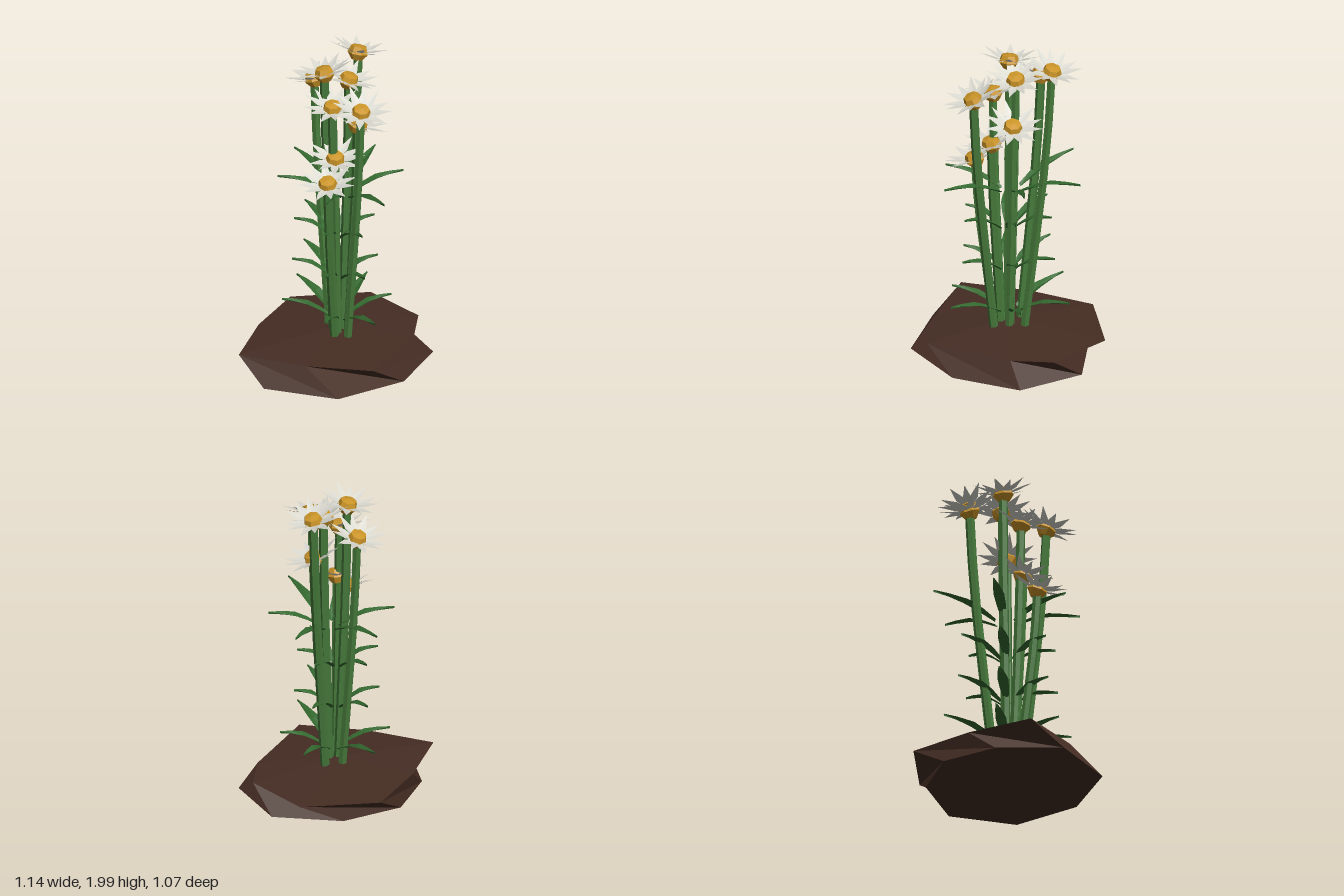
import * as THREE from 'three';
import { mergeGeometries } from 'three/addons/utils/BufferGeometryUtils.js';

const mat = (name, color, extra = {}) => {
  const m = new THREE.MeshStandardMaterial({ color, flatShading: true, ...extra });
  m.name = name;
  return m;
};

function mesh(name, geometry, material) {
  const m = new THREE.Mesh(geometry, material);
  m.name = name;
  return m;
}

function trianglesToGeometry(tris) {
  const g = new THREE.BufferGeometry();
  g.setAttribute('position', new THREE.Float32BufferAttribute(tris.flat(2), 3));
  g.computeVertexNormals();
  return g;
}

// Pointed blade along +x, folded down along its midrib; sections are [distance, height, half width]
function blade(sections, fold) {
  const tris = [];
  const rib = ([r, y]) => [r, y - fold, 0];
  for (let i = 0; i < sections.length - 1; i++) {
    const s = sections[i], t = sections[i + 1];
    const a = [s[0], s[1], s[2]], b = [s[0], s[1], -s[2]];
    const c = [t[0], t[1], t[2]], d = [t[0], t[1], -t[2]];
    tris.push([a, c, rib(s)], [rib(s), d, b]);
    if (t[2] > 0) tris.push([rib(s), c, rib(t)], [rib(s), rib(t), d]);
  }
  return trianglesToGeometry(tris);
}

// Faceted soil clod: two octagonal rings, twisted against each other, between two apexes
function soilGeometry() {
  const upper = [[0.57, 0], [0.44, 0.21], [0.02, 0.53], [-0.3, 0.3],
    [-0.575, 0], [-0.3, -0.3], [0.02, -0.54], [0.46, -0.39]].map(([x, z]) => [x, 0.2, z]);
  const lower = [[0.545, -0.195], [0.56, 0.21], [0.24, 0.48], [-0.2, 0.52], [-0.52, 0.21],
    [-0.42, -0.17], [-0.17, -0.41], [0.2, -0.42]].map(([x, z]) => [x, 0.065, z]);
  const top = [0.02, 0.25, 0], bottom = [0.02, 0, 0];
  const tris = [];
  for (let i = 0; i < 8; i++) {
    const j = (i + 1) % 8;
    tris.push([top, upper[j], upper[i]], [upper[i], upper[j], lower[i]],
      [upper[j], lower[j], lower[i]], [bottom, lower[i], lower[j]]);
  }
  return trianglesToGeometry(tris);
}

// Star of cupped petals around +y
function petalsGeometry(count) {
  const petals = [];
  for (let i = 0; i < count; i++) {
    const lift = i % 2 ? 0.018 : 0;
    const p = blade([[0.03, 0, 0.01], [0.085, 0.012 + lift / 2, 0.024], [0.172, 0.036 + lift, 0]], 0.002);
    petals.push(p.rotateY((i / count) * Math.PI * 2));
  }
  return mergeGeometries(petals);
}

export function createModel() {
  const group = new THREE.Group();
  const soil = mat('soil brown', 0x452d23);
  const stemGreen = mat('stem green', 0x467a3b);
  const leafGreen = mat('leaf green', 0x34692f, { side: THREE.DoubleSide });
  const white = mat('petal white', 0xd9d9d0, { side: THREE.DoubleSide });
  const yellow = mat('flower centre yellow', 0xca9428);

  group.add(mesh('soil', soilGeometry(), soil));

  // Flower heads: x, y, z, then sideways lean of the head in x and z
  const flowers = [
    [-0.02, 1.865, -0.02, -0.15, -0.15],
    [0.26, 1.885, -0.15, 0.28, -0.12],
    [0.12, 1.805, 0.01, 0.28, 0.2],
    [0.075, 1.715, 0.26, -0.05, 0.4],
    [-0.02, 1.685, 0.085, -0.12, 0.22],
    [0.16, 1.53, 0.05, 0.42, 0.1],
    [-0.01, 1.365, 0.1, -0.1, 0.3],
    [-0.09, 1.25, 0.165, -0.2, 0.28],
    [0.01, 1.745, -0.21, -0.15, -0.32],
  ];
  const centre = new THREE.Vector3(0.05, 0, 0.03);
  const petalGeo = petalsGeometry(12);
  const discProfile = [[0, -0.05], [0.032, -0.047], [0.061, -0.008], [0.046, 0.034], [0, 0.042]];
  const discGeo = new THREE.LatheGeometry(discProfile.map(([r, y]) => new THREE.Vector2(r, y)), 7);
  const up = new THREE.Vector3(0, 1, 0);

  flowers.forEach(([x, y, z, leanX, leanZ], i) => {
    const head = new THREE.Vector3(x, y, z);
    const at = (spread, height) => new THREE.Vector3(
      centre.x + (x - centre.x) * spread, height, centre.z + (z - centre.z) * spread);

    // Stem spreads outward from the soil, then straightens
    const path = new THREE.CatmullRomCurve3([at(0.38, 0.2), at(0.64, 0.2 + (y - 0.2) * 0.35),
      at(0.88, 0.2 + (y - 0.2) * 0.7), head]);
    group.add(mesh('stem', new THREE.TubeGeometry(path, 5, 0.026, 6), stemGreen));

    const flower = new THREE.Group();
    flower.name = 'flower';
    flower.add(mesh('petals', petalGeo, white), mesh('flowerCentre', discGeo, yellow));
    const spin = new THREE.Quaternion().setFromAxisAngle(up, i * 0.7);
    flower.quaternion.setFromUnitVectors(up, new THREE.Vector3(leanX, 1, leanZ).normalize()).multiply(spin);
    flower.position.copy(head);
    group.add(flower);
  });

  // Six leaf directions with their full reach, repeated in four tiers of tip height and scale
  const leafTips = [[-0.09, -0.45], [0.34, -0.27], [0.34, 0.09], [0.04, 0.45], [-0.25, 0.29], [-0.34, -0.16]];
  const tiers = [[0.435, 0.87, 0.055], [0.695, 0.68, 0.04], [0.955, 0.64, 0.035], [1.215, 1, 0.08]];
  for (const [y, scale, x] of tiers) {
    for (const [dx, dz] of leafTips) {
      const reach = Math.hypot(dx, dz) * scale;
      const leafGeo = blade([[reach * 0.15, -0.11, 0.014], [reach * 0.34, -0.065, 0.027],
        [reach * 0.55, -0.028, 0.031], [reach * 0.8, -0.01, 0.018], [reach, 0, 0.002]], 0.012);
      const leaf = mesh('leaf', leafGeo, leafGreen);
      leaf.position.set(x, y, 0.02);
      leaf.rotation.y = -Math.atan2(dz, dx);
      group.add(leaf);
    }
  }
  return group;
}
